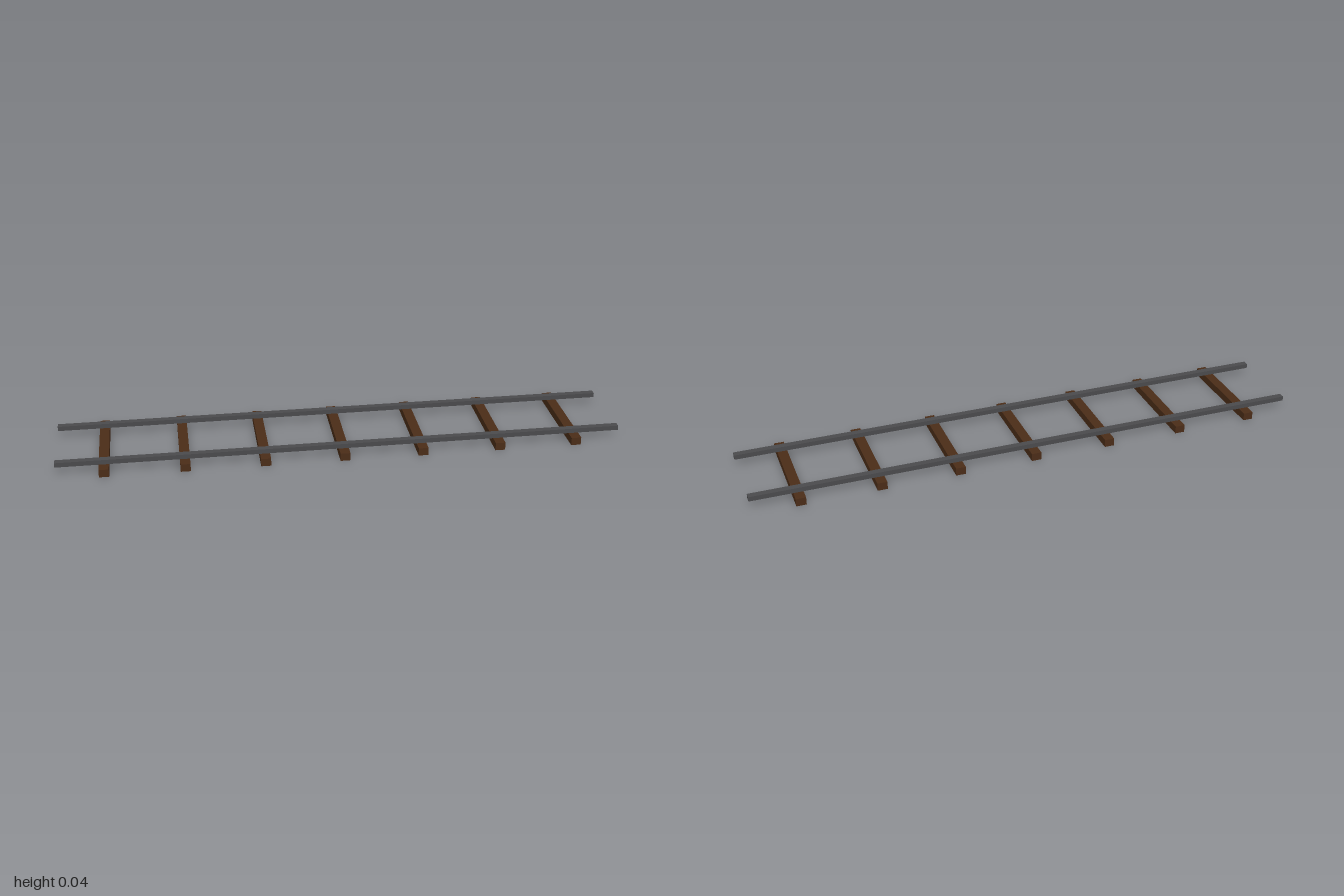
import * as THREE from 'three';

const SLEEPERS = 7, SPACING = 0.2778;
const SLEEPER = { w: 0.035, h: 0.028, d: 0.38 };
const RAIL = { w: 2, h: 0.0167, d: 0.0225, z: 0.139 };

export function createModel() {
  const track = new THREE.Group();
  track.name = 'railTrack';
  const wood = new THREE.MeshStandardMaterial({ color: 0x4a2c17 });
  const steel = new THREE.MeshStandardMaterial({ color: 0x4a4a4c });

  const addBox = (name, size, material, x, bottom, z) => {
    const mesh = new THREE.Mesh(new THREE.BoxGeometry(size.w, size.h, size.d), material);
    mesh.name = name;
    mesh.position.set(x, bottom + size.h / 2, z);
    track.add(mesh);
  };

  // Evenly spaced wooden sleepers on the ground
  for (let i = 0; i < SLEEPERS; i++) {
    addBox(`sleeper${i + 1}`, SLEEPER, wood, (i - (SLEEPERS - 1) / 2) * SPACING, 0, 0);
  }

  // Two steel rails resting on the sleepers
  addBox('frontRail', RAIL, steel, 0, SLEEPER.h, RAIL.z);
  addBox('backRail', RAIL, steel, 0, SLEEPER.h, -RAIL.z);

  return track;
}
